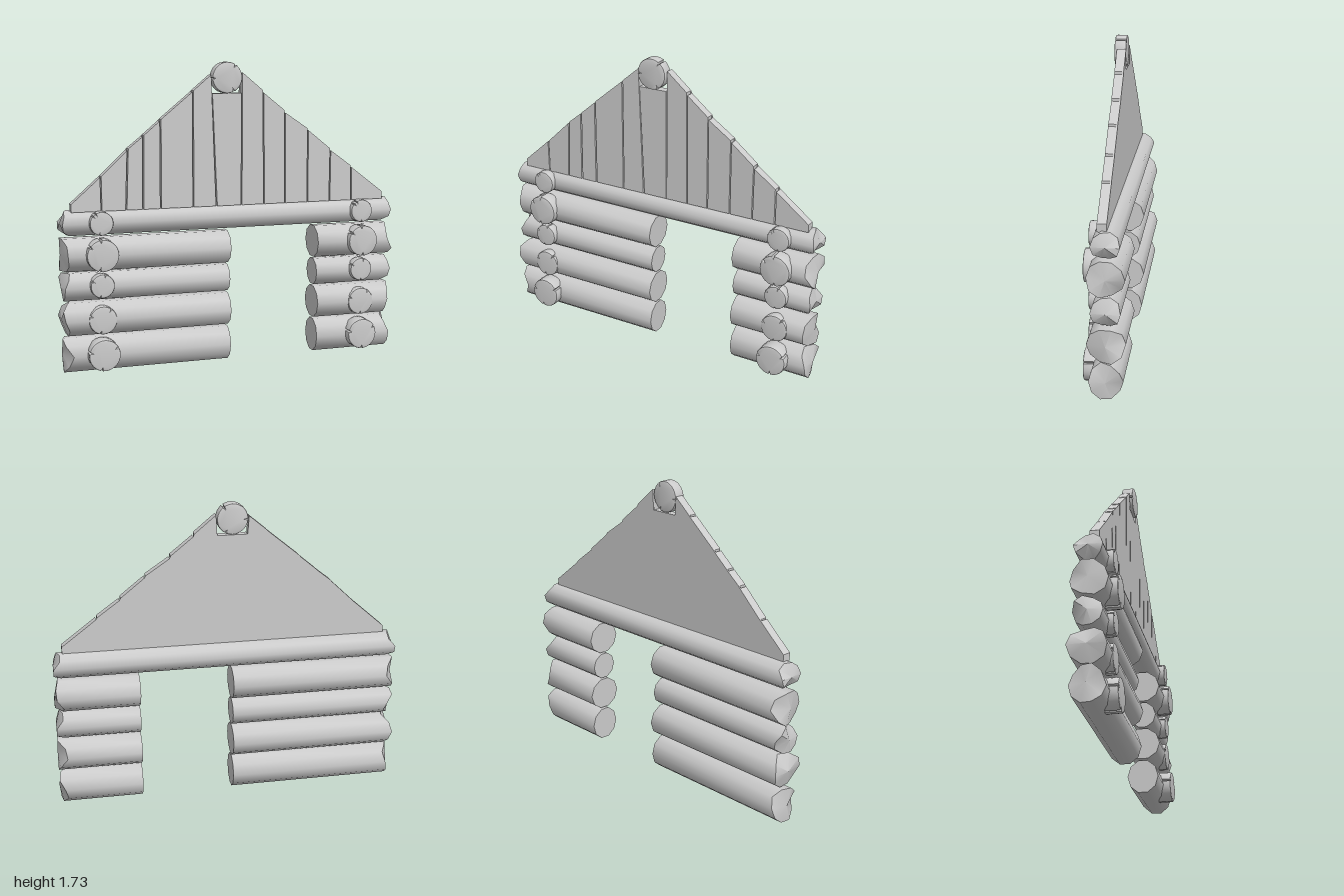
import * as THREE from 'three';
import { toCreasedNormals } from 'three/addons/utils/BufferGeometryUtils.js';

const material = new THREE.MeshStandardMaterial({ color: 0xcccccc });
const LOG_Z = -0.015;

// [bottom, top, half depth, disc radius, disc y, disc front z]
const COURSES = [
  [0.0, 0.205, 0.092, 0.09, 0.11, 0.12],
  [0.208, 0.405, 0.103, 0.08, 0.305, 0.09],
  [0.408, 0.572, 0.08, 0.068, 0.5, 0.09],
  [0.575, 0.772, 0.103, 0.091, 0.677, 0.115],
  [0.778, 0.925, 0.077, 0.067, 0.853, 0.087],
];

// Plank outlines: [bottom left x, bottom right x, top left x, y, top right x, y]
const PLANKS = [
  [-0.94, -0.772, -0.94, 0.96, -0.775, 1.105],
  [-0.766, -0.632, -0.768, 1.11, -0.62, 1.25],
  [-0.624, -0.534, -0.612, 1.26, -0.53, 1.325],
  [-0.526, -0.431, -0.522, 1.333, -0.43, 1.41],
  [-0.423, -0.239, -0.422, 1.42, -0.239, 1.57],
  [-0.232, -0.1, -0.232, 1.578, -0.128, 1.665],
  [-0.092, 0.052, -0.12, 1.56, 0.053, 1.56],
  [0.058, 0.19, 0.06, 1.677, 0.183, 1.575],
  [0.197, 0.32, 0.189, 1.56, 0.318, 1.457],
  [0.327, 0.462, 0.324, 1.442, 0.461, 1.35],
  [0.469, 0.602, 0.467, 1.338, 0.605, 1.228],
  [0.609, 0.741, 0.611, 1.215, 0.74, 1.122],
  [0.748, 0.945, 0.747, 1.11, 0.945, 0.96],
];

function addMesh(group, geometry, name) {
  const mesh = new THREE.Mesh(geometry, material);
  mesh.name = name;
  group.add(mesh);
  return mesh;
}

// Ten-sided log along x; outer ends at x = -1 and x = 1 are roughly hewn
function logGeometry(x0, x1, [bottom, top, halfDepth], seed) {
  const g = new THREE.CylinderGeometry(1, 1, x1 - x0, 10, 1);
  g.rotateZ(-Math.PI / 2);
  g.scale(1, (top - bottom) / 2, halfDepth);
  g.translate((x0 + x1) / 2, (top + bottom) / 2, LOG_Z);
  const p = g.attributes.position;
  const cy = (top + bottom) / 2;
  for (let i = 0; i < p.count; i++) {
    const y = p.getY(i) - cy, z = p.getZ(i) - LOG_Z, x = p.getX(i);
    if (Math.hypot(y, z) < 0.01 || Math.abs(x) < 0.99) continue;
    const a = Math.atan2(y, z);
    const chip = 0.022 + 0.022 * Math.sin(2 * a + seed * 2.1) + 0.013 * Math.sin(3 * a + seed * 1.3);
    p.setX(i, x - Math.sign(x) * Math.max(0, chip));
  }
  return toCreasedNormals(g, 0.7);
}

// Round log end with V-shaped cracks in its rim
function discGeometry(r, depth, cracks) {
  const bevel = 0.008, edge = r - bevel, pts = [];
  const steps = 28;
  for (let i = 0; i < steps; i++) {
    const a = (i / steps) * Math.PI * 2;
    if (cracks.every(c => Math.abs(Math.atan2(Math.sin(a - c), Math.cos(a - c))) > 0.16)) pts.push([a, edge]);
  }
  for (const c of cracks) pts.push([c - 0.13, edge], [c, edge * 0.76], [c + 0.13, edge]);
  pts.sort((m, n) => m[0] - n[0]);
  const shape = new THREE.Shape(pts.map(([a, d]) => new THREE.Vector2(d * Math.cos(a), d * Math.sin(a))));
  const g = new THREE.ExtrudeGeometry(shape, {
    depth: depth - 2 * bevel, bevelEnabled: true, bevelSize: bevel, bevelThickness: bevel, bevelSegments: 2,
  });
  g.translate(0, 0, bevel);
  return toCreasedNormals(g, 0.6);
}

function slab(points, z0, z1) {
  const shape = new THREE.Shape(points.map(([x, y]) => new THREE.Vector2(x, y)));
  const g = new THREE.ExtrudeGeometry(shape, { depth: z1 - z0, bevelEnabled: false });
  g.translate(0, 0, z0);
  return g;
}

export function createModel() {
  const model = new THREE.Group();
  model.name = 'logCabinFront';

  // Wall logs on both sides of the doorway, and the lintel over it
  const logs = new THREE.Group();
  logs.name = 'logs';
  COURSES.forEach((course, i) => {
    if (i === 4) {
      addMesh(logs, logGeometry(-1, 1, course, 5), 'lintelLog');
    } else {
      addMesh(logs, logGeometry(-1, -0.025, course, i + 1), 'rightWallLog');
      addMesh(logs, logGeometry(0.515, 1, course, i + 3), 'leftWallLog');
    }
  });
  model.add(logs);

  // Ends of the crossing side-wall logs
  const ends = new THREE.Group();
  ends.name = 'crossLogEnds';
  COURSES.forEach(([, , , r, y, front], i) => {
    for (const side of [-1, 1]) {
      const cracks = [0.5 + i * 0.4, 2.9 - i * 0.12, 4.6 + 0.1 * side];
      const depth = front - 0.03;
      const end = addMesh(ends, discGeometry(r, depth, cracks), 'crossLogEnd');
      end.position.set(side < 0 ? -0.78 : 0.793, y, 0.03);
    }
  });
  model.add(ends);

  // Gable planks with narrow gaps
  const gable = new THREE.Group();
  gable.name = 'gable';
  const outline = [[0.945, 0.915], [-0.94, 0.915]].reverse();
  const ridge = [];
  for (const [bl, br, tl, yl, tr, yr] of PLANKS) {
    addMesh(gable, slab([[bl, 0.915], [br, 0.915], [tr, yr], [tl, yl]], -0.012, 0.031), 'gablePlank');
    ridge.unshift([tr, yr], [tl, yl]);
  }
  // Continuous backing behind the planks
  addMesh(gable, slab([...outline, ...ridge], -0.02, -0.012), 'gableBacking');
  model.add(gable);

  // Ridge beam end at the peak
  const peak = addMesh(model, discGeometry(0.089, 0.066, [0.95, 3.2, 5.2]), 'ridgeBeamEnd');
  peak.position.set(-0.035, 1.649, -0.019);

  return model;
}
